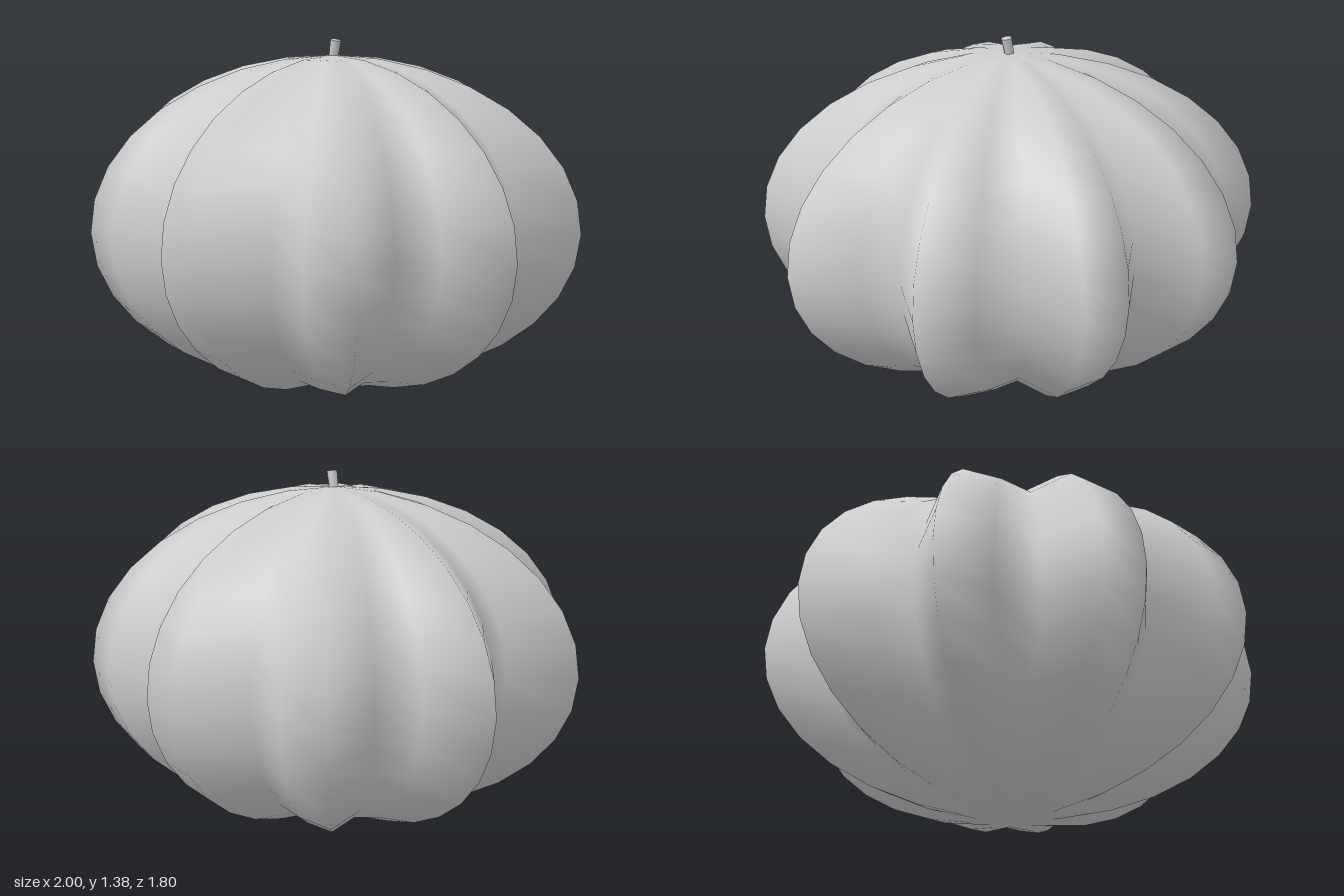
import * as THREE from 'three';
import { mergeVertices } from 'three/addons/utils/BufferGeometryUtils.js';

const HALF_HEIGHT = 0.66;
const RIBS = 10;

// Squashed sphere whose radius swells and dips around the axis to form ribs
function ribbedBody() {
  let geo = new THREE.SphereGeometry(1, 32, 16);
  geo.deleteAttribute('uv');
  geo.deleteAttribute('normal');
  geo = mergeVertices(geo, 1e-4); // closes the seam for smooth shading
  const pos = geo.attributes.position;
  for (let i = 0; i < pos.count; i++) {
    const x = pos.getX(i), z = pos.getZ(i);
    const rib = 0.865 + 0.135 * Math.cos(RIBS * Math.atan2(z, x));
    pos.setXYZ(i, x * rib, HALF_HEIGHT * (pos.getY(i) + 1) + 0.005, z * rib);
  }
  geo.computeVertexNormals();
  return geo;
}

export function createModel() {
  const group = new THREE.Group();
  const grey = new THREE.MeshStandardMaterial({ color: 0xcccccc });
  grey.name = 'light grey';

  const body = new THREE.Mesh(ribbedBody(), grey);
  body.name = 'ribbedBody';
  group.add(body);

  // Short stalk leaning to the left
  const stem = new THREE.Mesh(new THREE.CylinderGeometry(0.021, 0.018, 0.09, 8), grey);
  stem.name = 'stem';
  stem.position.set(0.012, 1.34, 0);
  stem.rotation.z = -0.22;
  group.add(stem);

  return group;
}
